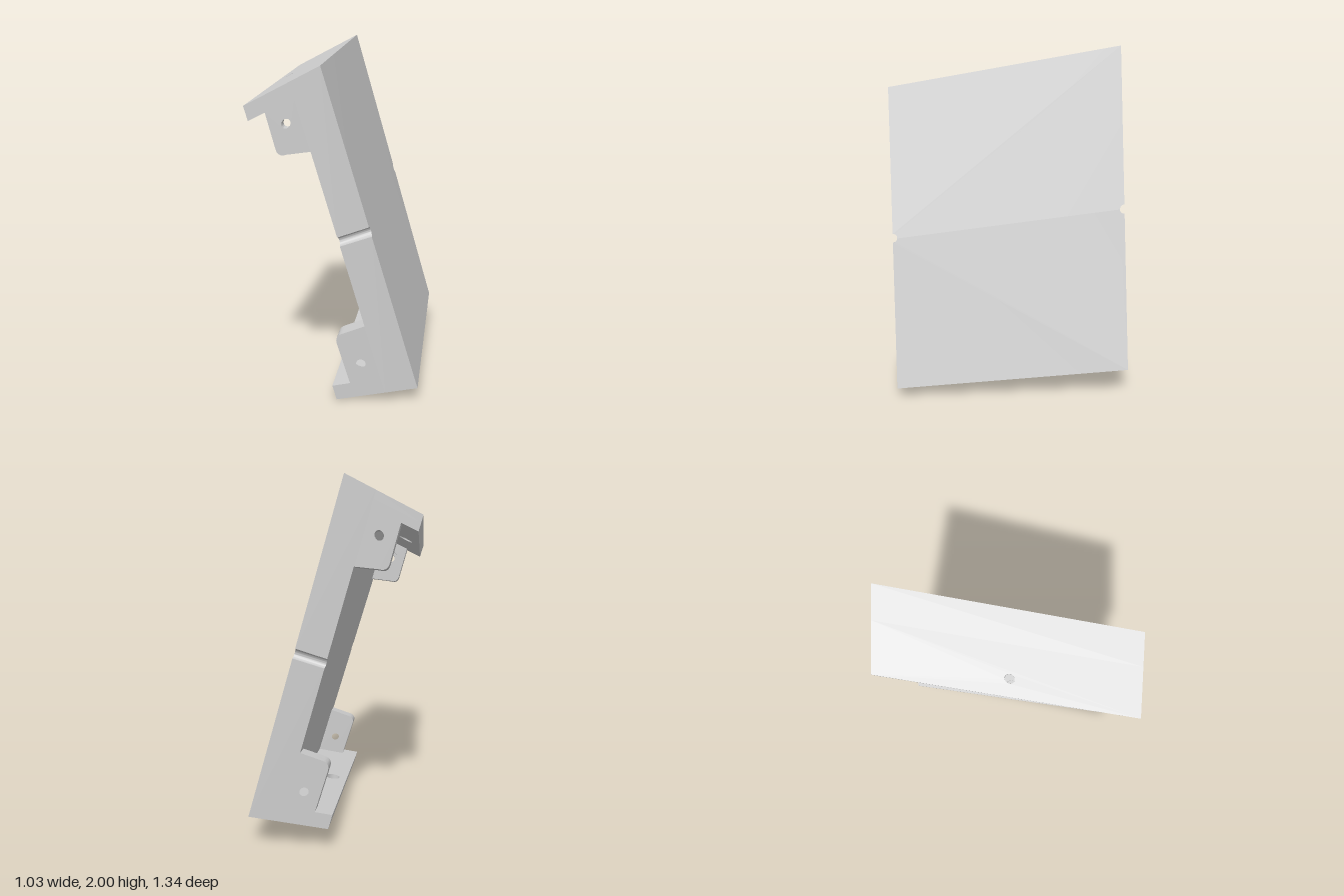
import * as THREE from 'three';
import { toCreasedNormals } from 'three/addons/utils/BufferGeometryUtils.js';

// Bracket coordinates: t = depth from the outer face, s = length from the top, z = width
const S = 1.8, T = 0.44, Z = 0.67, PLATE = 0.176, WALL = 0.088, TAB = 0.1;

// Corners [x, y] of the leaning end sections: [outer top, outer bottom, inner top, inner bottom]
const FRONT = [[-0.122, 1.765], [0.386, 0.077], [-0.515, 1.565], [-0.045, 0.003]];
const BACK = [[-0.004, 2.0], [0.513, 0.198], [-0.395, 1.8], [0.083, 0.13]];

const mix = (a, b, k) => a + (b - a) * k;

// Map bracket coordinates into the tapered, leaning body
function place(t, s, z) {
  const u = s / S, v = t / T, k = (z + Z) / (2 * Z);
  const at = (c, i) => mix(mix(c[0][i], c[1][i], u), mix(c[2][i], c[3][i], u), v);
  return [mix(at(BACK, 0), at(FRONT, 0), k), mix(at(BACK, 1), at(FRONT, 1), k), z];
}

const material = new THREE.MeshStandardMaterial({ color: 0xcccccc });

// Extrude a shape from one level to another, then bend it into the body
function piece(name, shape, from, to, order) {
  const g = new THREE.ExtrudeGeometry(shape, { depth: to - from, bevelEnabled: false, curveSegments: 12 });
  const p = g.attributes.position;
  for (let i = 0; i < p.count; i++) {
    p.setXYZ(i, ...place(...order(p.getX(i), p.getY(i), p.getZ(i) + from)));
  }
  g.deleteAttribute('normal');
  const mesh = new THREE.Mesh(toCreasedNormals(g, 0.6), material);
  mesh.name = name;
  return mesh;
}

function drill(shape, x, y, r) {
  shape.holes.push(new THREE.Path().absarc(x, y, r, 0, Math.PI * 2, true));
  return shape;
}

// Long plate with a half-round groove in each side edge
function plateShape() {
  const r = 0.026, m = S / 2, h = new THREE.Shape();
  h.moveTo(0, -Z);
  h.lineTo(m - r, -Z);
  h.absarc(m, -Z, r, Math.PI, 0, true);
  h.lineTo(S, -Z);
  h.lineTo(S, Z);
  h.lineTo(m + r, Z);
  h.absarc(m, Z, r, 0, -Math.PI, true);
  h.lineTo(0, Z);
  h.closePath();
  return h;
}

// End wall with a central screw hole
function wallShape(r) {
  const h = new THREE.Shape();
  h.moveTo(-Z, PLATE);
  h.lineTo(Z, PLATE);
  h.lineTo(Z, T);
  h.lineTo(-Z, T);
  h.closePath();
  return drill(h, 0, 0.348, r);
}

// Corner tab with one rounded corner and a screw hole; f flips it to the lower end
function tabShape(f, tip, root, r) {
  const h = new THREE.Shape(), d = 0.347, c = 0.045;
  h.moveTo(PLATE, f(WALL));
  h.lineTo(d - 0.004, f(WALL));
  h.lineTo(d, f(tip - c));
  h.quadraticCurveTo(d, f(tip), d - c, f(tip + 0.005));
  h.lineTo(PLATE, f(root));
  h.closePath();
  return drill(h, 0.255, f(0.193), r);
}

export function createModel() {
  const group = new THREE.Group();
  group.name = 'bracket';
  group.add(piece('plate', plateShape(), 0, PLATE, (s, z, t) => [t, s, z]));

  const ends = [
    { name: 'upper', f: s => s, tip: 0.343, root: 0.386 },
    { name: 'lower', f: s => S - s, tip: 0.383, root: 0.403 },
  ];
  // Each wall and tab has a narrow outer layer and a counterbored inner layer
  const layers = [[0, 0.5, 0.025], [0.5, 1, 0.045]];
  for (const { name, f, tip, root } of ends) {
    for (const [a, b, r] of layers) {
      const [lo, hi] = [f(a * WALL), f(b * WALL)].sort((p, q) => p - q);
      group.add(piece(name + 'Wall', wallShape(r), lo, hi, (z, t, s) => [t, s, z]));
      for (const side of [-1, 1]) {
        const [z0, z1] = [side * (Z - a * TAB), side * (Z - b * TAB)].sort((p, q) => p - q);
        group.add(piece(name + (side > 0 ? 'Front' : 'Back') + 'Tab',
          tabShape(f, tip, root, r), z0, z1, (t, s, z) => [t, s, z]));
      }
    }
  }
  return group;
}
